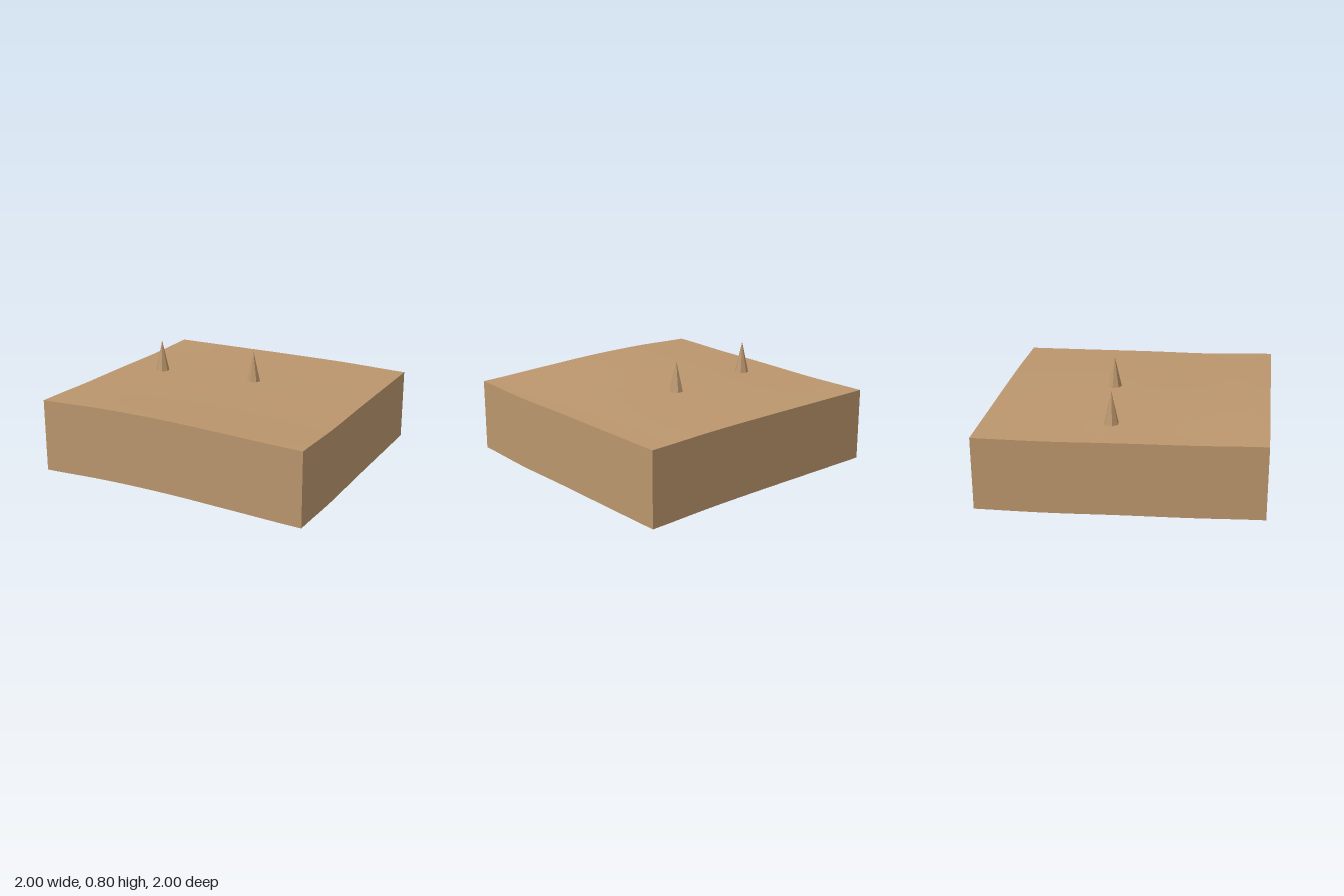
import * as THREE from 'three';

const DEPTH = 0.53; // skirt height below the terrain edge
const SEG = 24;

// Smooth curve through evenly spaced heights, sampled at t in 0..1
function heightCurve(values) {
  const spline = new THREE.SplineCurve(values.map((v, i) => new THREE.Vector2(i / (values.length - 1), v)));
  return (t) => spline.getPoint(t).y;
}

// Edge heights: front/back run from x = -1 to 1, left/right from z = -1 to 1
const front = heightCurve([0.59, 0.604, 0.6, 0.58, 0.56]);
const back = heightCurve([0.55, 0.55, 0.55, 0.546, 0.532]);
const minusX = heightCurve([0.55, 0.551, 0.564, 0.574, 0.59]);
const plusX = heightCurve([0.532, 0.536, 0.541, 0.542, 0.56]);

// Blend of the four edges over the whole square
function terrainHeight(x, z) {
  const u = (x + 1) / 2, v = (z + 1) / 2;
  const mix = THREE.MathUtils.lerp;
  const corners = mix(mix(back(0), back(1), u), mix(front(0), front(1), u), v);
  return mix(back(u), front(u), v) + mix(minusX(v), plusX(v), u) - corners;
}

export function createModel() {
  const group = new THREE.Group();
  const sand = new THREE.MeshStandardMaterial({ color: 0xbb966d, side: THREE.DoubleSide });
  sand.name = 'sand';

  const add = (name, geometry) => {
    const mesh = new THREE.Mesh(geometry, sand);
    mesh.name = name;
    group.add(mesh);
    return mesh;
  };

  // Gently rolling top surface
  const top = new THREE.PlaneGeometry(2, 2, SEG, SEG).rotateX(-Math.PI / 2);
  const p = top.attributes.position;
  for (let i = 0; i < p.count; i++) p.setY(i, terrainHeight(p.getX(i), p.getZ(i)));
  top.computeVertexNormals();
  add('terrain', top);

  // Four skirt walls of constant height, open underneath
  ['frontSkirt', 'leftSkirt', 'backSkirt', 'rightSkirt'].forEach((name, k) => {
    const wall = new THREE.PlaneGeometry(2, DEPTH, SEG, 1).translate(0, -DEPTH / 2, 1).rotateY(k * Math.PI / 2);
    const w = wall.attributes.position;
    for (let i = 0; i < w.count; i++) {
      w.setY(i, w.getY(i) + terrainHeight(w.getX(i), w.getZ(i)));
    }
    wall.computeVertexNormals();
    add(name, wall);
  });

  // Pointed seven-sided spikes, standing on the terrain
  [[-0.67, -0.085, 0.805, Math.PI], [0.08, -0.168, 0.793, 0]].forEach(([x, z, tip, turn], i) => {
    const base = terrainHeight(x, z) - 0.004;
    const height = tip - base;
    const cone = new THREE.ConeGeometry(0.053, height, 7, 1, true).toNonIndexed();
    cone.computeVertexNormals();
    const mesh = add('spike' + (i + 1), cone);
    mesh.position.set(x, base + height / 2, z);
    mesh.rotation.y = turn;
  });

  return group;
}
